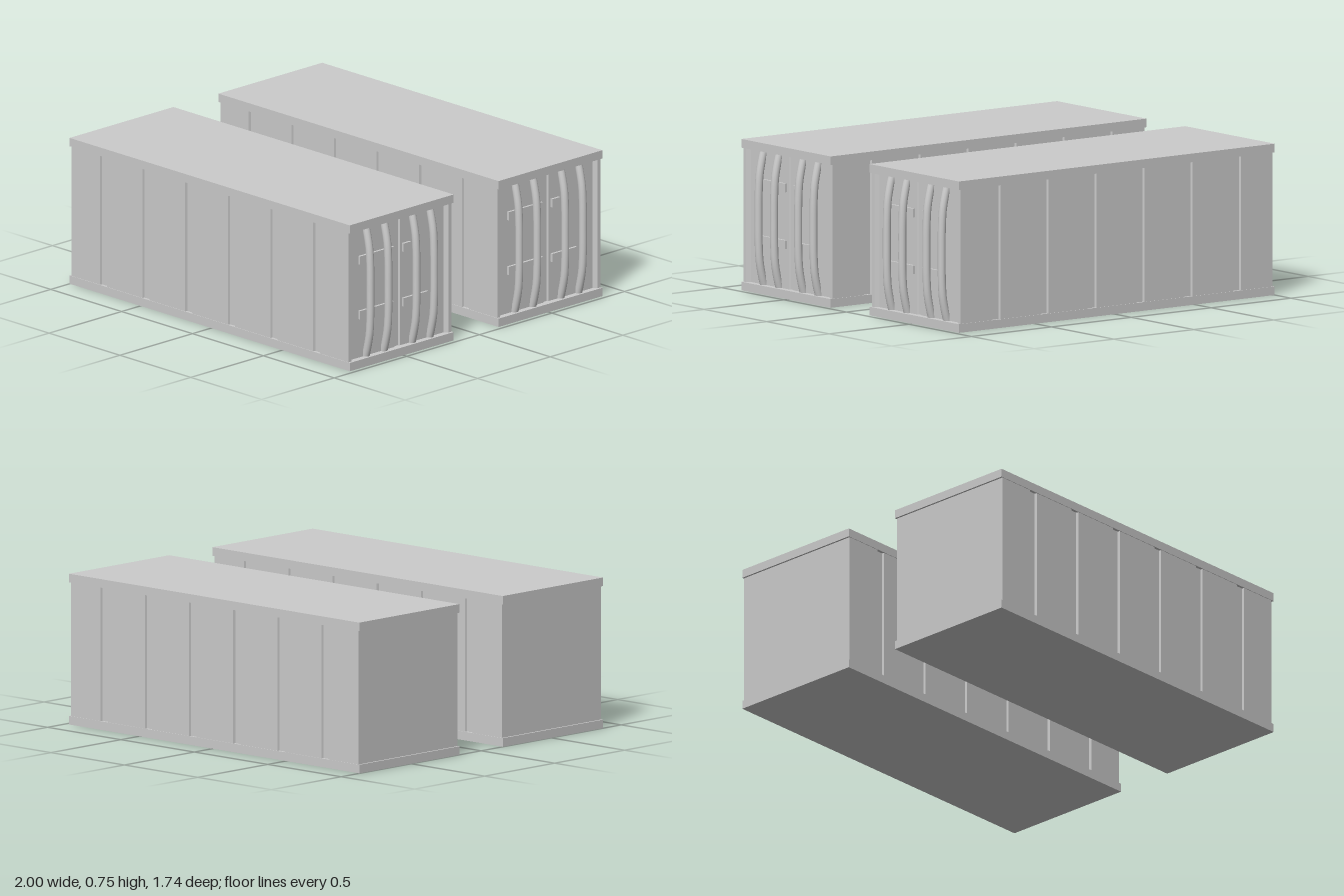
import * as THREE from 'three';

const mat = new THREE.MeshStandardMaterial({ color: 0xcccccc });
const LENGTH = 1.977, WIDTH = 0.715, HEIGHT = 0.755, SLAB = 0.043;
const MID_X = -1 + LENGTH / 2;

function add(parent, name, geometry, x = 0, y = 0, z = 0) {
  const mesh = new THREE.Mesh(geometry, mat);
  mesh.name = name;
  mesh.position.set(x, y, z);
  parent.add(mesh);
  return mesh;
}

// Plan outline: grooved long walls, plain rear, recessed doors with a seam
function bodyGeometry() {
  const w = WIDTH / 2 - 0.003, d = 0.012;
  const half = [[-0.99, w]];
  for (let i = 0; i < 6; i++) {
    const x = -0.765 + i * 0.301;
    half.push([x - 0.025, w], [x - 0.022, w - d], [x + 0.022, w - d], [x + 0.025, w]);
  }
  half.push([0.965, w], [0.965, w - 0.02], [0.945, w - 0.035], [0.945, 0.018], [0.937, 0.012]);
  const points = [
    ...half.map(([x, y]) => new THREE.Vector2(x, -y)),
    ...half.reverse().map(([x, y]) => new THREE.Vector2(x, y)),
  ];
  const geometry = new THREE.ExtrudeGeometry(new THREE.Shape(points), {
    depth: HEIGHT - 2 * SLAB, bevelEnabled: false,
  });
  return geometry.rotateX(-Math.PI / 2);
}

// Locking bar that bows outwards from the door
function barGeometry() {
  const path = new THREE.CatmullRomCurve3([
    [0.945, 0.043], [0.958, 0.09], [0.972, 0.16], [0.978, 0.25], [0.979, 0.378],
    [0.978, 0.505], [0.972, 0.595], [0.958, 0.665], [0.945, 0.712],
  ].map(([x, y]) => new THREE.Vector3(x, y, 0)));
  return new THREE.TubeGeometry(path, 32, 0.02, 12);
}

function createContainer() {
  const container = new THREE.Group();
  container.name = 'container';
  const slab = new THREE.BoxGeometry(LENGTH, SLAB, WIDTH);
  add(container, 'floorSlab', slab, MID_X, SLAB / 2);
  add(container, 'roofSlab', slab, MID_X, HEIGHT - SLAB / 2);
  add(container, 'corrugatedBody', bodyGeometry(), 0, SLAB);

  const bar = barGeometry();
  for (const z of [0.217, 0.093, -0.1, -0.222]) add(container, 'lockingBar', bar, 0, 0, z);

  // Flat cross plates on the doors: y centre, z from, z to
  for (const [y, z0, z1] of [[0.265, 0.033, 0.268], [0.548, 0.033, 0.268],
    [0.265, -0.203, -0.032], [0.548, -0.085, -0.032]]) {
    add(container, 'doorPlate', new THREE.BoxGeometry(0.016, 0.043, z1 - z0), 0.95, y, (z0 + z1) / 2);
  }
  return container;
}

export function createModel() {
  const model = new THREE.Group();
  model.name = 'containerPair';
  for (const z of [0.5125, -0.5125]) {
    const container = createContainer();
    container.position.z = z;
    model.add(container);
  }
  return model;
}
